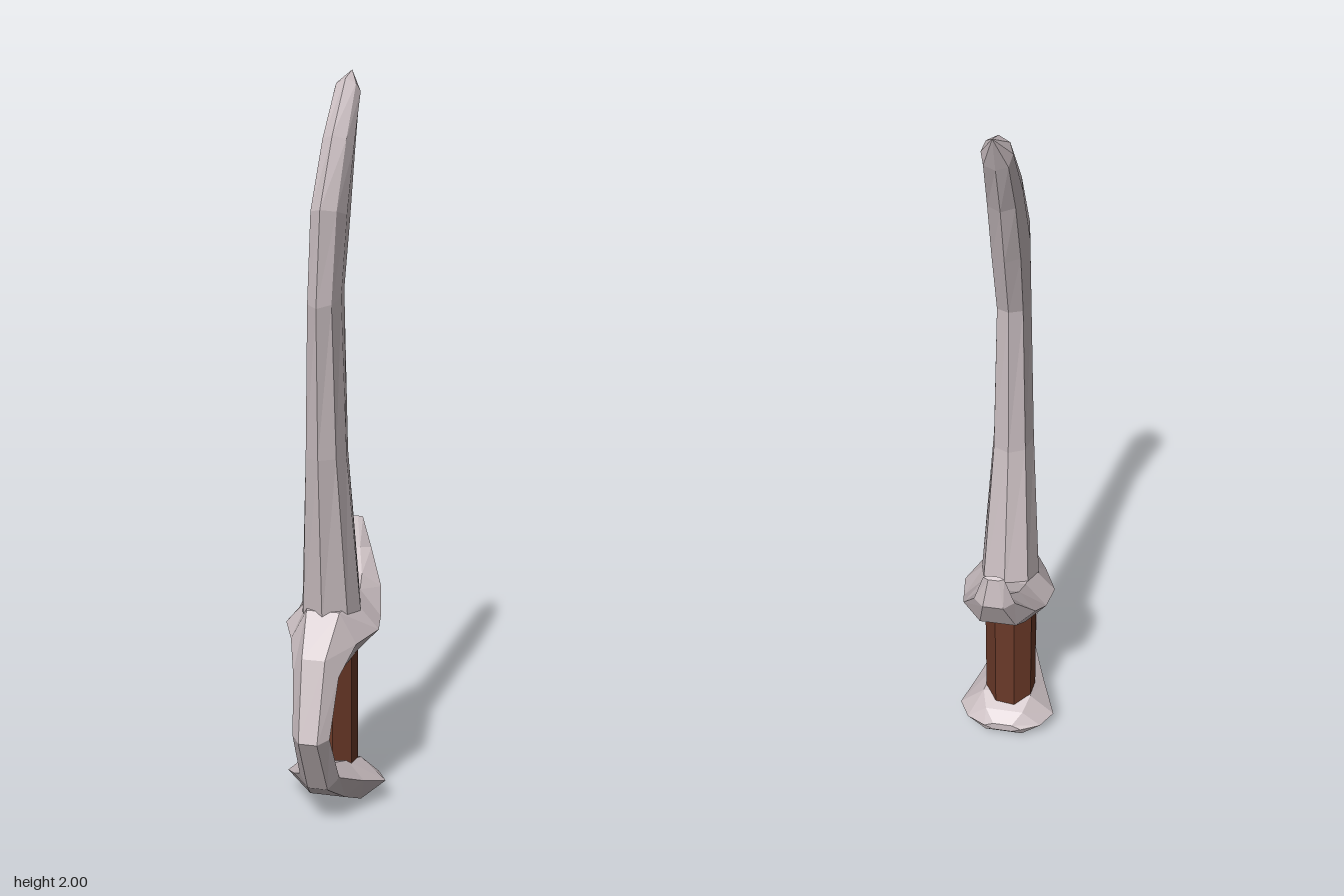
import * as THREE from 'three';

const steel = new THREE.MeshStandardMaterial({ color: 0xcbbfc2 });
steel.name = 'paleSteel';
const leather = new THREE.MeshStandardMaterial({ color: 0x6a3928 });
leather.name = 'brownGrip';
steel.flatShading = leather.flatShading = true;

// Skin a list of closed rings (arrays of Vector3) and cap both ends.
function loft(rings) {
  const pos = [];
  const tri = (...pts) => pts.forEach((p) => pos.push(p.x, p.y, p.z));
  const n = rings[0].length;
  for (let i = 0; i < rings.length - 1; i++) {
    for (let j = 0; j < n; j++) {
      const k = (j + 1) % n;
      const [a, b, c, d] = [rings[i][j], rings[i][k], rings[i + 1][k], rings[i + 1][j]];
      tri(a, b, c);
      tri(a, c, d);
    }
  }
  const first = rings[0];
  const last = rings[rings.length - 1];
  for (let j = 1; j < n - 1; j++) {
    tri(first[0], first[j + 1], first[j]);
    tri(last[0], last[j], last[j + 1]);
  }
  const g = new THREE.BufferGeometry();
  g.setAttribute('position', new THREE.Float32BufferAttribute(pos, 3));
  g.computeVertexNormals();
  return g;
}

// Cross-section spanning from point p to point q in the z-y plane.
// outline: [fraction from p to q, sideways fraction of halfWidth]
function ring([pz, py, qz, qy, halfWidth], outline) {
  return outline.map(([t, s]) => new THREE.Vector3(
    s * halfWidth, py + (qy - py) * t, pz + (qz - pz) * t));
}

function part(name, geometry, material) {
  const mesh = new THREE.Mesh(geometry, material);
  mesh.name = name;
  return mesh;
}

export function createModel() {
  const sword = new THREE.Group();
  sword.name = 'curvedSword';

  // Blade: cutting edge z, y, spine z, y, half thickness
  const bladeOutline = [
    [0, 0], [0.18, 0.75], [0.5, 1], [0.88, 0.78],
    [1, 0], [0.88, -0.78], [0.5, -1], [0.18, -0.75],
  ];
  const bladeStations = [
    [0.11, 0.57, -0.095, 0.57, 0.082],
    [0.15, 1.02, -0.025, 1.02, 0.054],
    [0.165, 1.41, -0.02, 1.45, 0.042],
    [0.125, 1.65, -0.075, 1.62, 0.045],
    [0.0, 1.83, -0.125, 1.78, 0.042],
    [-0.14, 1.975, -0.18, 1.91, 0.036],
    [-0.215, 2.0, -0.215, 2.0, 0],
  ];
  sword.add(part('blade', loft(bladeStations.map((s) => ring(s, bladeOutline))), steel));

  // Guard, knuckle bow and pommel in one sweep: outer z, y, inner z, y, half width
  const guardOutline = [
    [0.5, 1], [0, 0.5], [0, -0.5], [0.5, -1], [1, -0.5], [1, 0.5],
  ];
  const guardStations = [
    [-0.24, 0.775, -0.25, 0.77, 0.028],
    [-0.215, 0.69, -0.26, 0.68, 0.055],
    [-0.14, 0.635, -0.19, 0.555, 0.1],
    [-0.08, 0.61, -0.08, 0.465, 0.118],
    [0.0, 0.6, 0.0, 0.455, 0.13],
    [0.1, 0.6, 0.09, 0.43, 0.09],
    [0.2, 0.5, 0.15, 0.4, 0.062],
    [0.26, 0.29, 0.19, 0.3, 0.05],
    [0.16, 0.12, 0.12, 0.18, 0.055],
    [0.05, 0.05, 0.03, 0.15, 0.1],
    [-0.05, 0.0, -0.05, 0.128, 0.142],
    [-0.11, 0.025, -0.1, 0.105, 0.11],
    [-0.13, 0.05, -0.13, 0.075, 0.055],
  ];
  sword.add(part('guardAndPommel', loft(guardStations.map((s) => ring(s, guardOutline))), steel));

  // Eight-sided grip
  const grip = part('grip', new THREE.CylinderGeometry(0.074, 0.074, 0.42, 8), leather);
  grip.rotation.y = 0.3;
  grip.position.set(-0.005, 0.3, -0.01);
  sword.add(grip);

  return sword;
}
